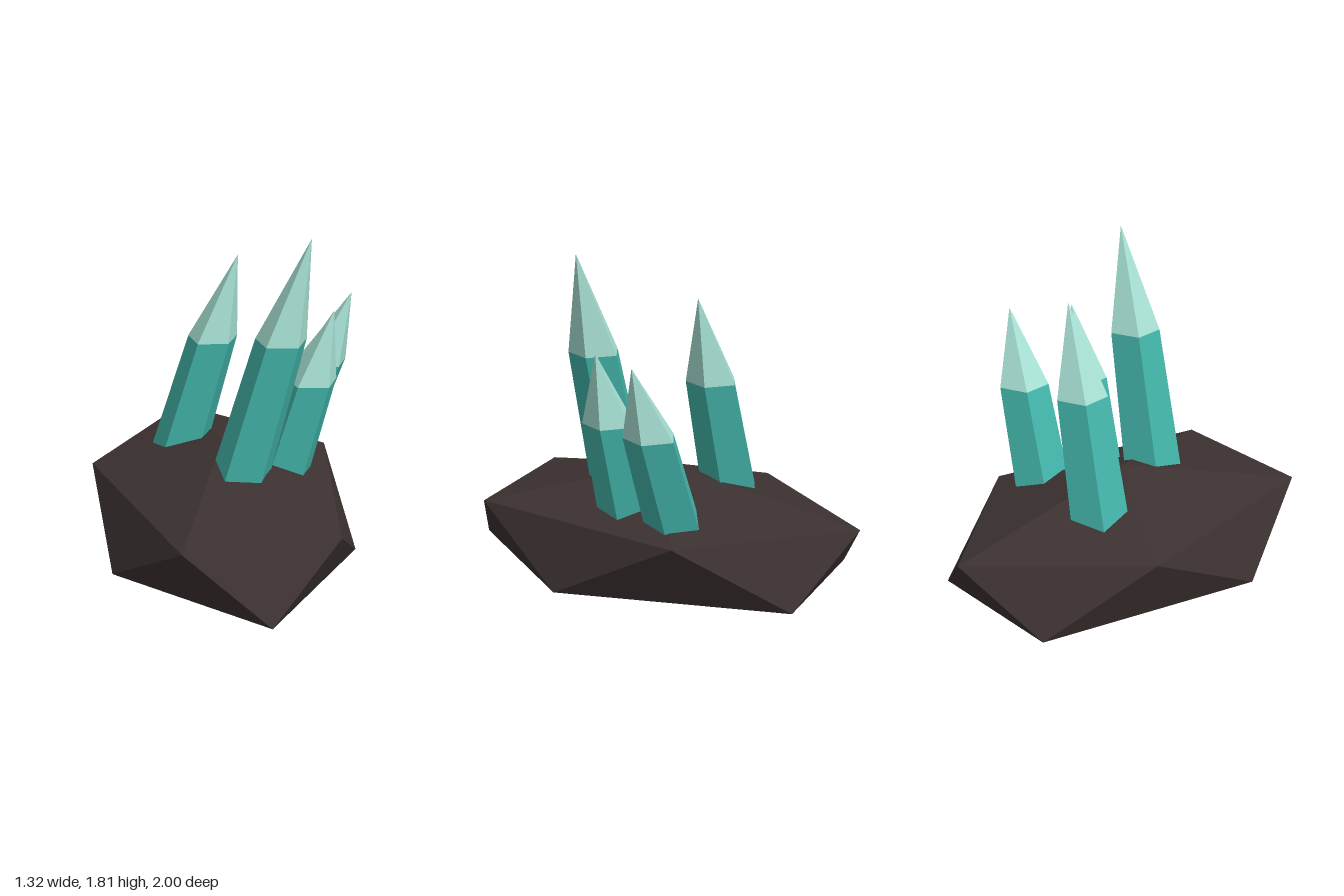
import * as THREE from 'three';

const rockMat = new THREE.MeshStandardMaterial({ color: 0x3b3130, flatShading: true });
rockMat.name = 'darkRock';
const bodyMat = new THREE.MeshStandardMaterial({ color: 0x42b3a8, flatShading: true });
bodyMat.name = 'teal';
const tipMat = new THREE.MeshStandardMaterial({ color: 0xa6dfd2, flatShading: true });
tipMat.name = 'paleMint';

const BASE_Y = 0.45;

// Twenty-sided boulder: two apexes and two point-mirrored rings of five
function makeRock() {
  const ring = [[-0.66, -0.18], [-0.2, 0.885], [0.54, 0.725], [0.54, -0.435], [-0.21, -1]];
  const top = [0, 0.72, 0], bottom = [0, 0, 0];
  const upper = (i) => [ring[i % 5][0], 0.52, ring[i % 5][1]];
  const lower = (i) => [-ring[(i + 3) % 5][0], 0.2, -ring[(i + 3) % 5][1]];
  const pos = [];
  for (let i = 0; i < 5; i++) {
    pos.push(...top, ...upper(i), ...upper(i + 1));
    pos.push(...upper(i), ...lower(i), ...upper(i + 1));
    pos.push(...lower(i), ...lower(i + 1), ...upper(i + 1));
    pos.push(...bottom, ...lower(i + 1), ...lower(i));
  }
  const geo = new THREE.BufferGeometry();
  geo.setAttribute('position', new THREE.Float32BufferAttribute(pos, 3));
  geo.computeVertexNormals();
  const mesh = new THREE.Mesh(geo, rockMat);
  mesh.name = 'rock';
  return mesh;
}

// Leaning five-sided crystal: tapered shaft and pointed tip, sheared along x
function makeCrystal({ tip, shoulderY, lean }) {
  const [tipX, tipY, z] = tip;
  const r = 0.129;
  const shaftH = shoulderY - BASE_Y, tipH = tipY - shoulderY;
  const shaft = new THREE.CylinderGeometry(r, r + 0.033 * shaftH, shaftH, 5, 1, true, Math.PI);
  shaft.translate(0, BASE_Y + shaftH / 2, 0);
  const point = new THREE.ConeGeometry(r, tipH, 5, 1, true, Math.PI);
  point.translate(0, shoulderY + tipH / 2, 0);

  const shear = new THREE.Matrix4().set(
    1, lean, 0, tipX - lean * tipY,
    0, 1, 0, 0,
    0, 0, 1, z,
    0, 0, 0, 1);
  const group = new THREE.Group();
  group.name = 'crystal';
  for (const [geo, mat, name] of [[shaft, bodyMat, 'crystalShaft'], [point, tipMat, 'crystalTip']]) {
    const mesh = new THREE.Mesh(geo.applyMatrix4(shear), mat);
    mesh.name = name;
    group.add(mesh);
  }
  return group;
}

export function createModel() {
  const model = new THREE.Group();
  model.name = 'crystalRock';
  model.add(makeRock());
  const crystals = [
    { tip: [0.41, 1.81, 0.213], shoulderY: 1.31, lean: 0.27 },
    { tip: [0.08, 1.6, -0.253], shoulderY: 1.17, lean: 0.288 },
    { tip: [0.54, 1.39, 0], shoulderY: 1.03, lean: 0.28 },
    { tip: [0.65, 1.39, -0.295], shoulderY: 1.03, lean: 0.39 },
  ];
  for (const c of crystals) model.add(makeCrystal(c));
  return model;
}
